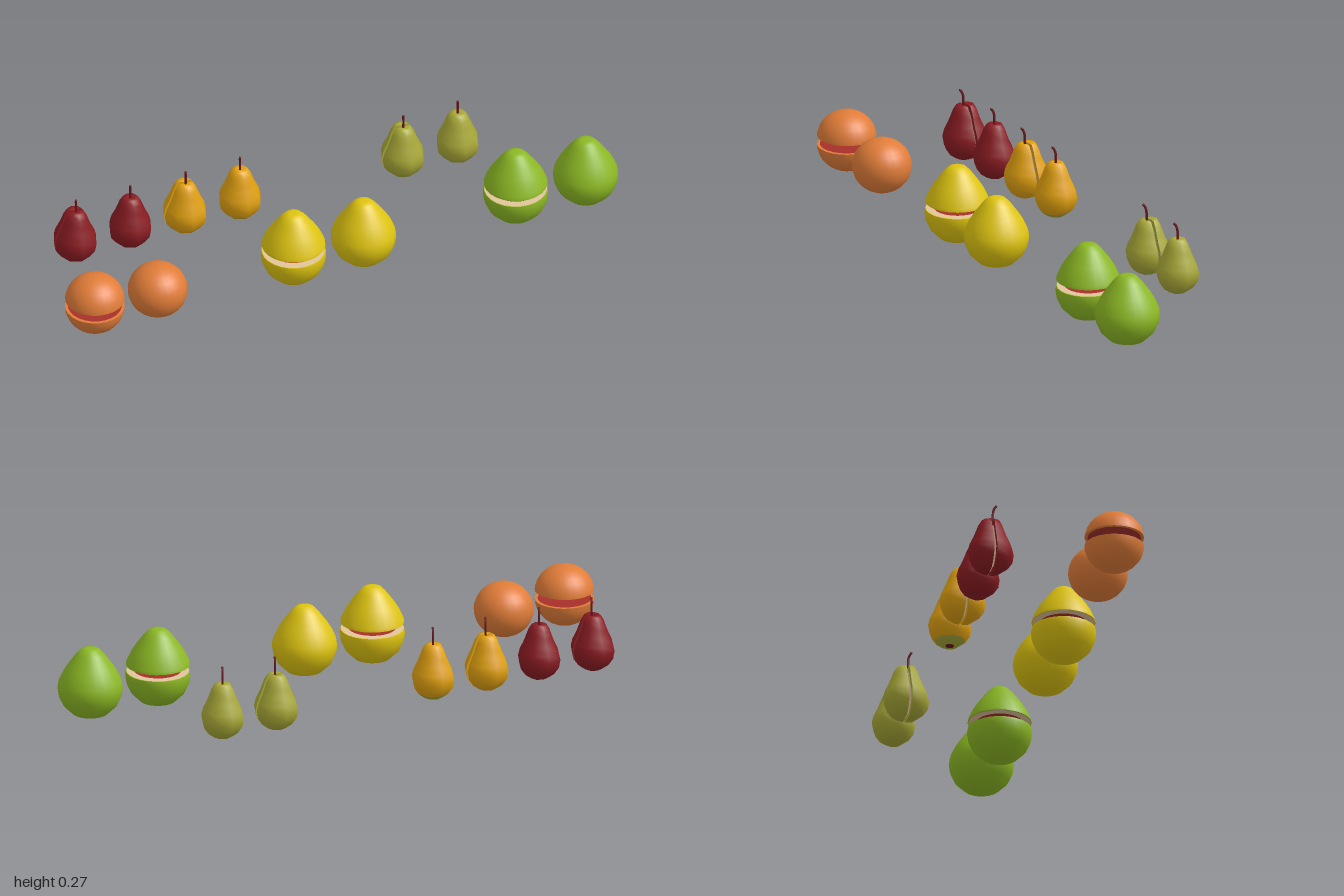
import * as THREE from 'three';

const mat = (name, color) => {
  const m = new THREE.MeshStandardMaterial({ color });
  m.name = name;
  return m;
};

// [radius, height] profiles, bottom to top
const PEAR = [[0, 0.007], [0.03, 0.006], [0.052, 0.022], [0.069, 0.046], [0.074, 0.075], [0.068, 0.1],
  [0.055, 0.127], [0.046, 0.15], [0.038, 0.172], [0.026, 0.192], [0.012, 0.194], [0, 0.19]];
const POMELO = [[0, 0.006], [0.025, 0.005], [0.06, 0.017], [0.09, 0.046], [0.105, 0.078], [0.109, 0.105],
  [0.105, 0.13], [0.091, 0.16], [0.076, 0.184], [0.06, 0.206], [0.045, 0.226], [0.03, 0.241], [0.015, 0.246], [0, 0.245]];
const GRAPEFRUIT = Array.from({ length: 17 }, (_, i) => {
  const a = (i / 16) * Math.PI;
  return [0.1 * Math.sin(a), 0.1015 - 0.0935 * Math.cos(a)];
});

const toVectors = (profile) => profile.map(([r, y]) => new THREE.Vector2(Math.max(r, 0), y));

// Splits a profile at a height into its lower and upper parts
function split(profile, y) {
  const i = profile.findIndex((p, k) => k > 1 && p[1] > y);
  const [a, b] = [profile[i - 1], profile[i]];
  const r = a[0] + (b[0] - a[0]) * (y - a[1]) / (b[1] - a[1]);
  return { lower: [...profile.slice(0, i), [r, y]], upper: [[r, y], ...profile.slice(i)], r };
}

function add(parent, name, geometry, material, x = 0, y = 0, z = 0) {
  const mesh = new THREE.Mesh(geometry, material);
  mesh.name = name;
  mesh.position.set(x, y, z);
  parent.add(mesh);
  return mesh;
}

function group(parent, name, x = 0, z = 0) {
  const g = new THREE.Group();
  g.name = name;
  g.position.set(x, 0, z);
  parent.add(g);
  return g;
}

export function createModel() {
  const model = new THREE.Group();
  model.name = 'fruitSet';

  const orange = mat('grapefruit orange', 0xe07c38);
  const red = mat('pear red', 0x8a1c22);
  const amber = mat('pear amber', 0xe0a010);
  const olive = mat('pear olive', 0xa8a838);
  const yellow = mat('pomelo yellow', 0xdec410);
  const green = mat('pomelo green', 0x8cb824);
  const cream = mat('pith cream', 0xe2c49c);
  const flesh = mat('flesh red', 0xa8302a);
  const stemRed = mat('stem dark red', 0x6a1a20);

  const lathe = (profile, sides, start = 0, length = Math.PI * 2) =>
    new THREE.LatheGeometry(toVectors(profile), sides, start, length);

  // Flat round cut with rind, pith and flesh; dir is 1 facing up, -1 facing down
  function cutFace(parent, y, r, layers, dir) {
    layers.forEach(([name, scale, material], i) => {
      const disc = new THREE.CircleGeometry(r * scale, 24).rotateX(-dir * Math.PI / 2);
      add(parent, name, disc, material, 0, y + dir * 0.001 * i, 0);
    });
  }

  // Round citrus cut across the middle, upper half lifted
  function splitCitrus(name, profile, peel, x, z, cutLow, cutHigh, lift, layers, core) {
    const g = group(model, name, x, z);
    const low = split(profile, cutLow);
    const high = split(profile, cutHigh);
    add(g, 'lowerPeel', lathe(low.lower, 24), peel);
    cutFace(g, cutLow, low.r, layers, 1);
    const top = group(g, 'upperHalf');
    top.position.y = lift;
    add(top, 'upperPeel', lathe(high.upper, 24), peel);
    cutFace(top, cutHigh, high.r, layers, -1);
    if (core) add(g, 'fleshCore', new THREE.ConeGeometry(0.045, 0.022, 12), flesh, 0, cutLow + 0.012, 0);
  }

  function wholeCitrus(name, profile, peel, x, z) {
    add(model, name, lathe(profile, 24), peel, x, 0, z);
  }

  const grapefruitCut = [['rind', 1, orange], ['flesh', 0.9, flesh]];
  splitCitrus('cutGrapefruit', GRAPEFRUIT, orange, -0.9, 0.183, 0.099, 0.108, 0.022, grapefruitCut, false);
  wholeCitrus('wholeGrapefruit', GRAPEFRUIT, orange, -0.672, 0.183);

  for (const [name, peel, x, z] of [['Yellow', yellow, -0.18, 0.185], ['Green', green, 0.635, 0.165]]) {
    const layers = [['rind', 1, peel], ['pith', 0.98, cream], ['flesh', 0.74, flesh]];
    splitCitrus(`cut${name}Pomelo`, POMELO, peel, x, z, 0.12, 0.12, 0.024, layers, true);
    wholeCitrus(`whole${name}Pomelo`, POMELO, peel, x + 0.254, z);
  }

  // Curved stem leaning forward at the tip
  function stem(parent, z = 0) {
    const path = new THREE.CatmullRomCurve3([[0, 0.185, 0], [0, 0.225, 0.001], [-0.002, 0.237, 0.004], [-0.004, 0.247, 0.01]]
      .map((p) => new THREE.Vector3(...p)));
    add(parent, 'stem', new THREE.TubeGeometry(path, 8, 0.0042, 6), stemRed, 0, 0, z);
    add(parent, 'stemTip', new THREE.SphereGeometry(0.0046, 6, 4), stemRed, -0.004, 0.246, z + 0.01);
  }

  function wholePear(name, skin, x, painted) {
    const g = group(model, name, x, -0.21);
    if (painted) {
      const { lower, upper } = split(PEAR, 0.024);
      add(g, 'skin', lathe(upper, 8), skin);
      add(g, 'base', lathe(lower, 8), olive);
      add(g, 'calyx', new THREE.CylinderGeometry(0.016, 0.014, 0.004, 8), stemRed, 0, 0.006, 0);
    } else {
      add(g, 'skin', lathe(PEAR, 8), skin);
    }
    stem(g);
  }

  // Pear cut lengthwise into a front and a back half
  function cutPear(name, skin, x) {
    const g = group(model, name, x, -0.215);
    const outline = toVectors(PEAR);
    const mirrored = PEAR.slice(1, -1).reverse().map(([r, y]) => new THREE.Vector2(-r, y));
    const face = new THREE.ShapeGeometry(new THREE.Shape([...outline, ...mirrored])).rotateY(Math.PI);
    const core = face.clone().translate(0, -0.09, 0).scale(0.82, 0.82, 1).translate(0, 0.088, -0.0008);
    for (const [half, turn, z] of [['frontHalf', 0, 0.005], ['backHalf', Math.PI, -0.005]]) {
      const h = group(g, half, 0, z);
      h.rotation.y = turn;
      add(h, 'skin', lathe(PEAR, 4, -Math.PI / 2, Math.PI), skin);
      add(h, 'cutRim', face, skin);
      add(h, 'cutFlesh', core, cream);
    }
    stem(g, 0.007);
  }

  for (const [name, skin, x, painted] of [['Red', red, -0.798, false], ['Amber', amber, -0.4, true], ['Olive', olive, 0.39, false]]) {
    cutPear(`cut${name}Pear`, skin, x);
    wholePear(`whole${name}Pear`, skin, x + 0.198, painted);
  }

  return model;
}
